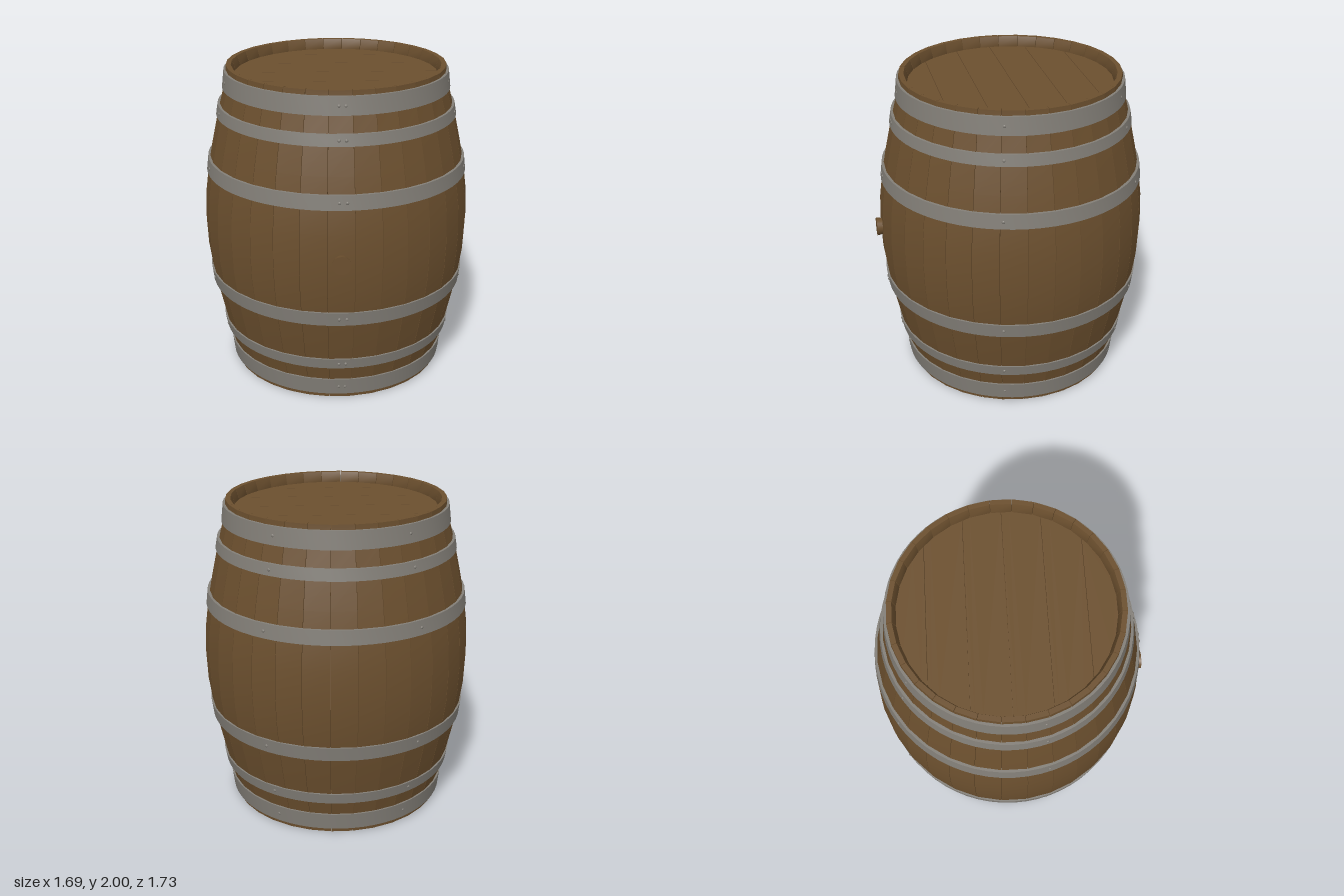
import * as THREE from 'three';
import { toCreasedNormals } from 'three/addons/utils/BufferGeometryUtils.js';

const STAVES = 32;
const GAP = 0.0015;      // half the gap between neighbouring boards
const HEAD_R = 0.645;

// Upper half of the stave profile: [height above the middle, outer radius, inner radius]
const HALF = [
  [0, 0.85, 0.80], [0.18, 0.843, 0.793], [0.35, 0.82, 0.77], [0.52, 0.787, 0.737],
  [0.7, 0.747, 0.697], [0.86, 0.706, 0.656], [0.94, 0.69, 0.636], [1, 0.686, 0.655],
];
const ROWS = [...HALF.slice(1).reverse().map(([y, o, i]) => [-y, o, i]), ...HALF];

function outerRadius(h) {
  const t = Math.abs(h);
  const k = Math.max(1, HALF.findIndex((p) => p[0] >= t));
  const [a, b] = [HALF[k - 1], HALF[k]];
  return a[1] + (b[1] - a[1]) * (t - a[0]) / (b[0] - a[0]);
}

// One bent board, facing +z: four long sides and two end caps
function staveGeometry() {
  const rings = ROWS.map(([h, o, i]) => {
    const at = (r, s) => {
      const a = s * (Math.PI / STAVES - GAP / r);
      return [r * Math.sin(a), 1 + h, r * Math.cos(a)];
    };
    return [at(o, -1), at(o, 1), at(i, 1), at(i, -1)];
  });
  const pos = [], index = [];
  for (let s = 0; s < 4; s++) {
    const base = pos.length / 3;
    rings.forEach((r) => pos.push(...r[s], ...r[(s + 1) % 4]));
    for (let j = 0; j < rings.length - 1; j++) {
      const k = base + 2 * j;
      index.push(k, k + 1, k + 3, k, k + 3, k + 2);
    }
  }
  [rings[rings.length - 1], [...rings[0]].reverse()].forEach((cap) => {
    const k = pos.length / 3;
    pos.push(...cap.flat());
    index.push(k, k + 1, k + 2, k, k + 2, k + 3);
  });
  const g = new THREE.BufferGeometry();
  g.setAttribute('position', new THREE.Float32BufferAttribute(pos, 3));
  g.setIndex(index);
  g.computeVertexNormals();
  return g;
}

// Closed metal band that follows the taper of the staves
function hoopGeometry(h0, h1) {
  const out = (h) => outerRadius(h) + (Math.abs(h) === Math.max(Math.abs(h0), Math.abs(h1)) ? 0.014 : 0.009);
  const p = [
    [outerRadius(h0) - 0.012, h0], [out(h0), h0], [out(h1), h1],
    [outerRadius(h1) - 0.012, h1], [outerRadius(h0) - 0.012, h0],
  ].map(([r, h]) => new THREE.Vector2(r, 1 + h));
  return toCreasedNormals(new THREE.LatheGeometry(p, 64), 0.5);
}

// Board of the round head, cut from the circle between two z lines
function headBoardGeometry(z0, z1) {
  const a0 = Math.asin(z0 / HEAD_R), a1 = Math.asin(z1 / HEAD_R);
  const pts = [], n = 10;
  for (let side = 0; side < 2; side++) {
    for (let i = 0; i <= n; i++) {
      const a = a0 + (a1 - a0) * (side ? 1 - i / n : i / n);
      pts.push(new THREE.Vector2((side ? -1 : 1) * HEAD_R * Math.cos(a), HEAD_R * Math.sin(a)));
    }
  }
  const g = new THREE.ExtrudeGeometry(new THREE.Shape(pts), { depth: 0.03, bevelEnabled: false });
  return g.rotateX(Math.PI / 2);
}

export function createModel() {
  const wood = new THREE.MeshStandardMaterial({ name: 'oak wood', color: 0x6b4f2e });
  const metal = new THREE.MeshStandardMaterial({ name: 'hoop metal', color: 0x827e77 });

  const model = new THREE.Group();
  model.name = 'barrel';
  const body = new THREE.Group();
  body.name = 'body';
  body.position.z = -0.015;
  model.add(body);

  const add = (parent, name, geometry, material) => {
    const mesh = new THREE.Mesh(geometry, material);
    mesh.name = name;
    parent.add(mesh);
    return mesh;
  };
  const group = (name) => {
    const g = new THREE.Group();
    g.name = name;
    body.add(g);
    return g;
  };

  // Staves
  const staves = group('staves');
  const stave = staveGeometry();
  for (let i = 0; i < STAVES; i++) {
    add(staves, 'stave', stave, wood).rotation.y = (i / STAVES) * Math.PI * 2;
  }

  // Recessed heads at both ends
  const cuts = [-HEAD_R, -0.464, -0.232, 0, 0.232, 0.464, HEAD_R];
  [['topHead', 1.935], ['bottomHead', 0.095]].forEach(([name, y]) => {
    const head = group(name);
    head.position.y = y;
    for (let i = 0; i < cuts.length - 1; i++) {
      const z0 = cuts[i] + (i > 0 ? GAP : 0);
      const z1 = cuts[i + 1] - (i < cuts.length - 2 ? GAP : 0);
      add(head, 'headBoard', headBoardGeometry(z0, z1), wood);
    }
  });

  // Hoops with rivets, mirrored about the middle
  const rivet = new THREE.SphereGeometry(0.01, 10, 6);
  const rivetAngles = [-0.8, 2.4, 74.5, 146, 214, 285];
  [[0.33, 0.42], [0.69, 0.76], [0.86, 0.97]].forEach(([a, b]) => {
    [[a, b], [-b, -a]].forEach(([h0, h1]) => {
      const hoop = group('hoop');
      add(hoop, 'band', hoopGeometry(h0, h1), metal);
      const mid = (h0 + h1) / 2, r = outerRadius(mid) + 0.0115;
      rivetAngles.forEach((deg) => {
        const t = THREE.MathUtils.degToRad(deg);
        const m = add(hoop, 'rivet', rivet, metal);
        m.position.set(r * Math.sin(t), 1 + mid, r * Math.cos(t));
        m.rotation.y = t;
        m.scale.z = 0.6;
      });
    });
  });

  // Bung plug in the front
  const bung = add(body, 'bung', new THREE.CylinderGeometry(0.058, 0.047, 0.06, 24), wood);
  bung.rotation.x = Math.PI / 2;
  bung.position.set(0, 1.005, 0.85);

  return model;
}
